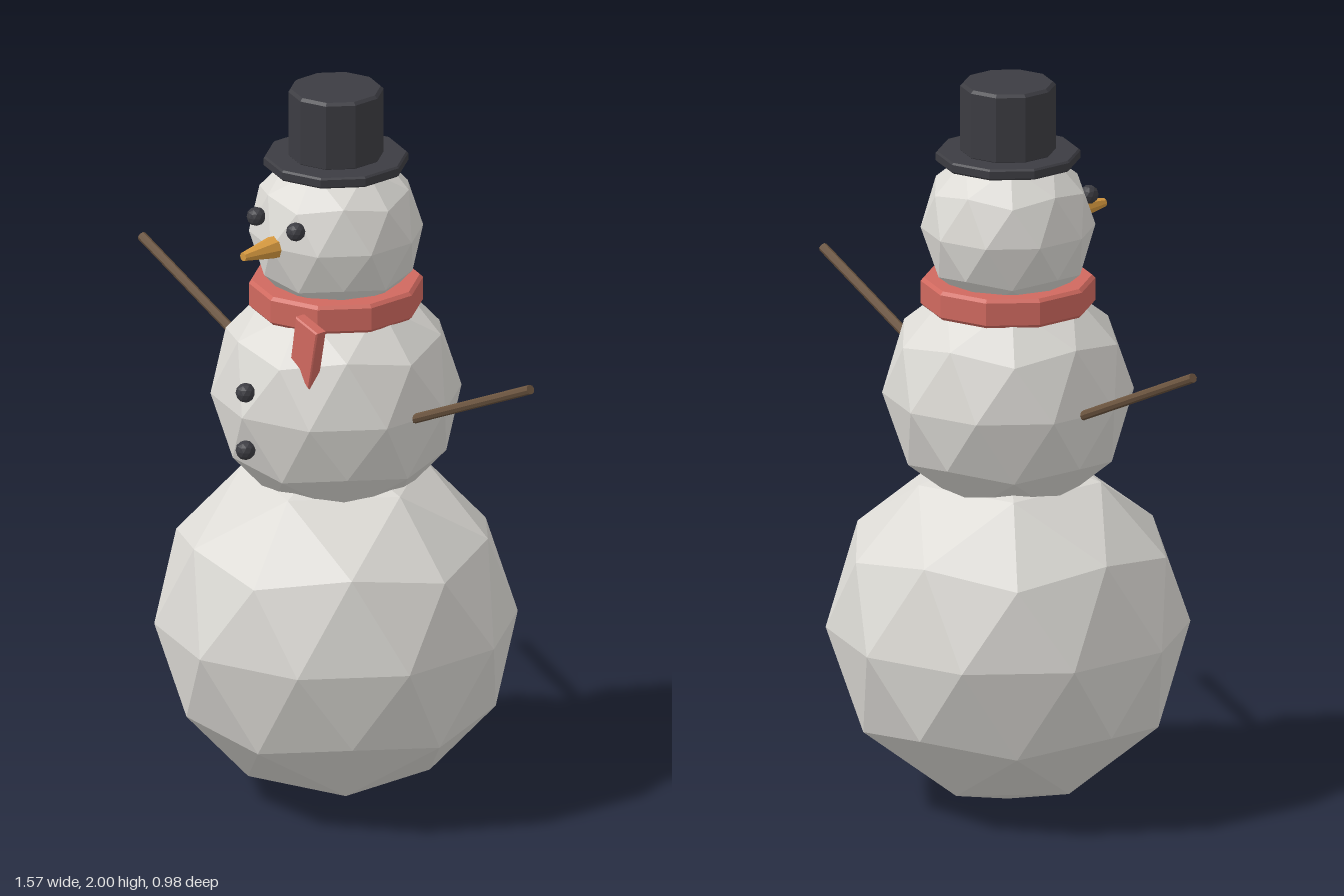
import * as THREE from 'three';

const mat = (name, color) => {
  const m = new THREE.MeshStandardMaterial({ color, flatShading: true });
  m.name = name;
  return m;
};

export function createModel() {
  const model = new THREE.Group();
  model.name = 'snowman';
  const snow = mat('snow', 0xdcdad5);
  const black = mat('charcoal', 0x3c3c42);
  const red = mat('scarfRed', 0xd0695f);
  const orange = mat('carrot', 0xd89a40);
  const wood = mat('wood', 0x6b543f);

  const add = (name, geometry, material, x = 0, y = 0, z = 0) => {
    const mesh = new THREE.Mesh(geometry, material);
    mesh.name = name;
    mesh.position.set(x, y, z);
    model.add(mesh);
    return mesh;
  };

  // Faceted ball with a corner pointing straight up
  const ball = (r) => new THREE.IcosahedronGeometry(r, 1)
    .rotateZ(-Math.atan(2 / (1 + Math.sqrt(5))));

  // Ten-sided closed disc with slightly bevelled rims
  const disc = (r, y0, y1, b) => new THREE.LatheGeometry([
    [0, y0], [r - b, y0], [r, y0 + b], [r, y1 - b], [r - b, y1], [0, y1],
  ].map(([x, y]) => new THREE.Vector2(x, y)), 10);

  // Snowballs
  add('lowerBody', ball(0.488), snow, 0, 0.488, 0);
  add('upperBody', ball(0.337), snow, 0, 1.14, 0);
  add('head', ball(0.234), snow, 0, 1.6, 0);

  // Hat
  add('hatBrim', disc(0.194, 1.781, 1.811, 0.005), black);
  add('hatCrown', disc(0.128, 1.805, 2, 0.008), black);

  // Scarf ring and hanging tail
  add('scarf', disc(0.234, 1.379, 1.459, 0.009), red);
  const tail = new THREE.Shape([
    [0.12, 1.436], [0.199, 1.413], [0.168, 1.252], [0.1, 1.313],
  ].map(([x, y]) => new THREE.Vector2(x, y)));
  add('scarfTail', new THREE.ExtrudeGeometry(tail, {
    depth: 0.028, bevelEnabled: true, bevelThickness: 0.004, bevelSize: 0.004, bevelSegments: 1,
  }), red, 0, 0, 0.219);

  // Face
  add('nose', new THREE.CylinderGeometry(0.012, 0.036, 0.133, 8).rotateX(Math.PI / 2),
    orange, 0, 1.6, 0.2665);
  for (const [name, s] of [['leftEye', 1], ['rightEye', -1]]) {
    add(name, ball(0.026), black, 0.079 * s, 1.664, 0.215);
  }

  // Buttons
  [1.21, 1.046].forEach((y, i) => add('button' + (i + 1), ball(0.027), black, 0, y, 0.324));

  // Stick arms
  for (const [name, s] of [['leftArm', 1], ['rightArm', -1]]) {
    const a = new THREE.Vector3(0.25 * s, 1.113, 0);
    const b = new THREE.Vector3(0.779 * s, 1.357, 0);
    const dir = b.clone().sub(a);
    const arm = add(name, new THREE.CylinderGeometry(0.013, 0.013, dir.length(), 8), wood);
    arm.position.copy(a).add(b).multiplyScalar(0.5);
    arm.quaternion.setFromUnitVectors(new THREE.Vector3(0, 1, 0), dir.normalize());
  }
  return model;
}
